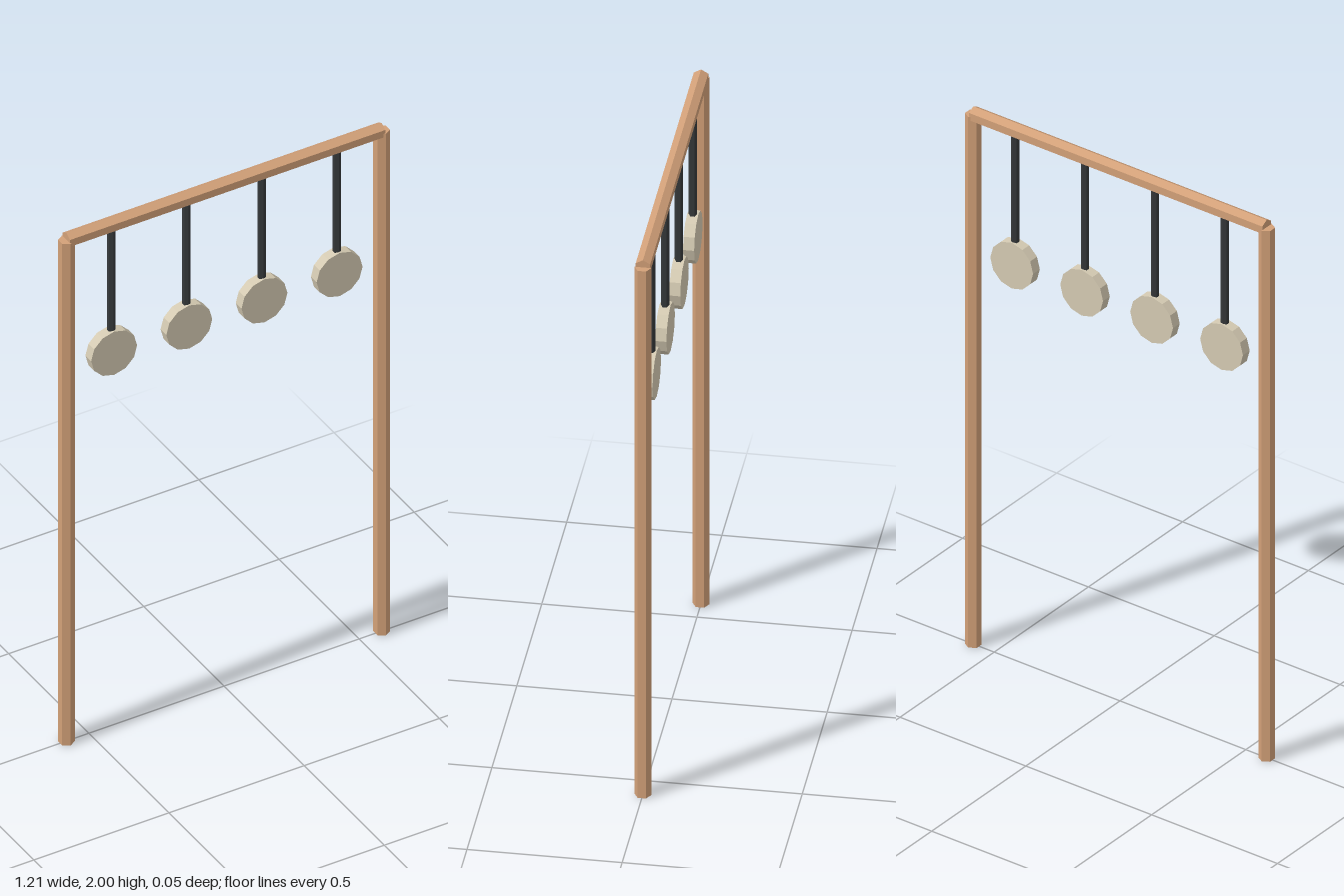
import * as THREE from 'three';

const wood = new THREE.MeshStandardMaterial({ color: 0xd2a078 });
wood.name = 'wood';
const strapBlack = new THREE.MeshStandardMaterial({ color: 0x35383a });
strapBlack.name = 'strapBlack';
const paleDisc = new THREE.MeshStandardMaterial({ color: 0xd4cab2 });
paleDisc.name = 'paleDisc';

const POST_X = 0.583;
const BAR_Y = 1.973;
const POLE_R = 0.027;
const DISC_Y = 1.476;

// Faceted prism standing along y, with one edge facing +z
function prism(name, radius, length, sides, material) {
  const geometry = new THREE.CylinderGeometry(radius, radius, length, sides).toNonIndexed();
  geometry.computeVertexNormals();
  const mesh = new THREE.Mesh(geometry, material);
  mesh.name = name;
  return mesh;
}

export function createModel() {
  const model = new THREE.Group();
  model.name = 'hangingDiscFrame';

  // Two hexagonal posts
  for (const side of [-1, 1]) {
    const post = prism(side > 0 ? 'leftPost' : 'rightPost', POLE_R, BAR_Y, 6, wood);
    post.position.set(side * POST_X, BAR_Y / 2, 0);
    model.add(post);
  }

  // Crossbar, turned so that an edge runs along its top
  const bar = prism('crossbar', POLE_R, POST_X * 2, 6, wood);
  bar.geometry.rotateY(Math.PI / 6).rotateZ(Math.PI / 2);
  bar.position.y = BAR_Y;
  model.add(bar);

  // Four hanging discs, each on a thin rod
  for (let i = 0; i < 4; i++) {
    const target = new THREE.Group();
    target.name = 'hangingTarget' + (i + 1);
    target.position.x = (i - 1.5) * 0.278;

    const top = BAR_Y - 0.01, bottom = DISC_Y + 0.078;
    const rod = prism('rod', 0.0135, top - bottom, 6, strapBlack);
    rod.position.y = (top + bottom) / 2;

    const disc = prism('disc', 0.085, 0.036, 12, paleDisc);
    disc.geometry.rotateX(Math.PI / 2);
    disc.position.y = DISC_Y;

    target.add(rod, disc);
    model.add(target);
  }
  return model;
}
